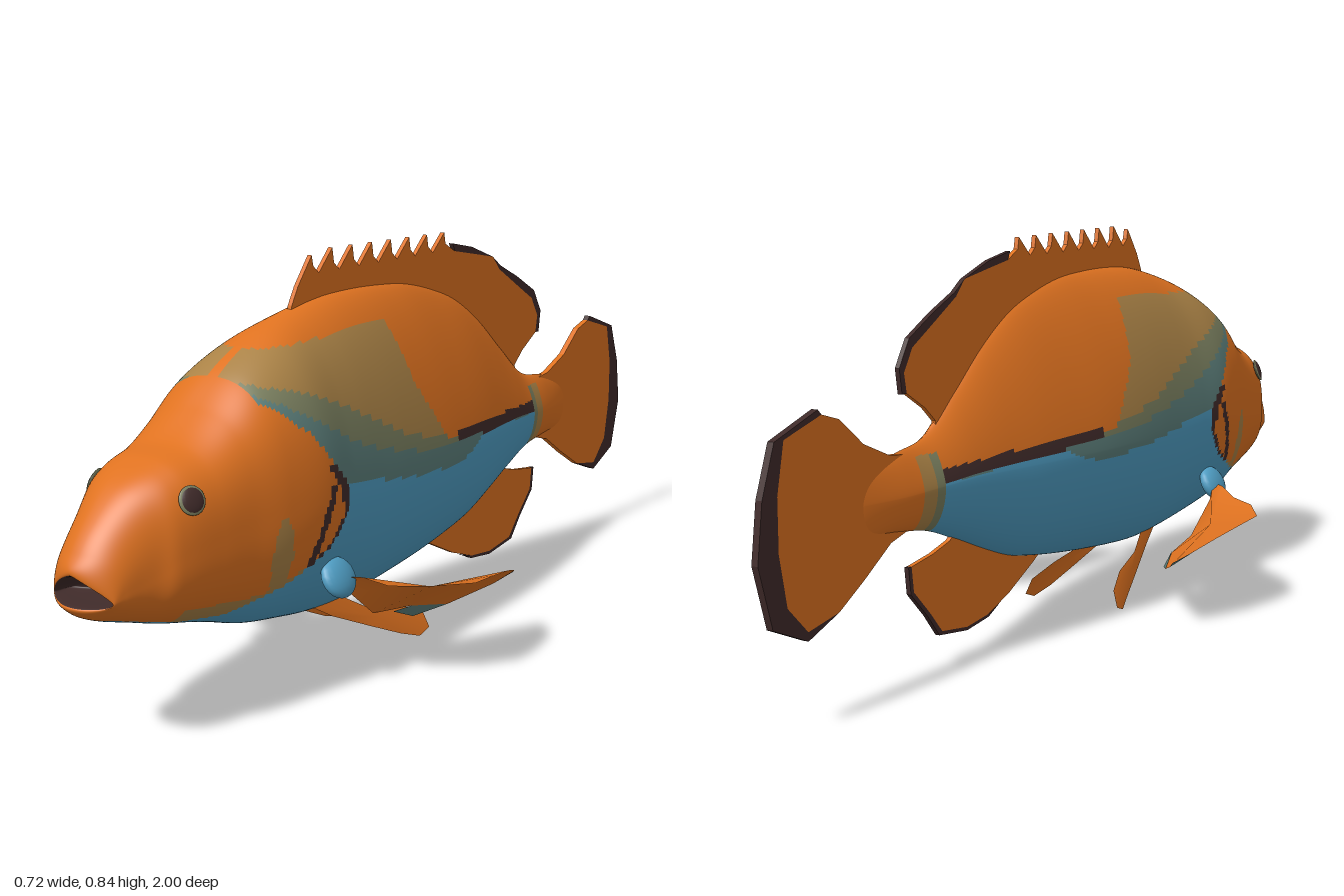
import * as THREE from 'three';

const mat = (name, color, side = THREE.FrontSide) => {
  const m = new THREE.MeshStandardMaterial({ color, side });
  m.name = name;
  return m;
};

// Piecewise-linear lookup in a short list of [input, output], inputs ascending
function lookup(pts, v) {
  if (v <= pts[0][0]) return pts[0][1];
  for (let i = 1; i < pts.length; i++) {
    const [a, fa] = pts[i - 1], [b, fb] = pts[i];
    if (v <= b) return fa + (fb - fa) * (v - a) / (b - a);
  }
  return pts[pts.length - 1][1];
}

// Body sections from tail to lips, then back into the mouth: z, top, bottom, half width, widest height
const SECTIONS = [
  [-0.72, 0.38, 0.36, 0, 0.37], [-0.70, 0.42, 0.31, 0.008, 0.37], [-0.60, 0.45, 0.30, 0.028, 0.37],
  [-0.50, 0.47, 0.285, 0.045, 0.375], [-0.40, 0.545, 0.25, 0.065, 0.38], [-0.30, 0.625, 0.21, 0.085, 0.38],
  [-0.20, 0.685, 0.175, 0.106, 0.38], [-0.10, 0.72, 0.155, 0.124, 0.38], [0, 0.742, 0.14, 0.139, 0.38],
  [0.10, 0.75, 0.128, 0.149, 0.38], [0.20, 0.752, 0.118, 0.156, 0.38], [0.30, 0.747, 0.112, 0.162, 0.38],
  [0.40, 0.73, 0.118, 0.17, 0.39], [0.50, 0.70, 0.135, 0.179, 0.40], [0.60, 0.65, 0.155, 0.168, 0.39],
  [0.68, 0.585, 0.18, 0.15, 0.38], [0.75, 0.54, 0.20, 0.138, 0.37], [0.82, 0.52, 0.217, 0.125, 0.36],
  [0.89, 0.485, 0.238, 0.105, 0.34], [0.95, 0.43, 0.256, 0.09, 0.325], [0.985, 0.385, 0.272, 0.08, 0.315],
  [1, 0.35, 0.292, 0.07, 0.303], [0.95, 0.342, 0.296, 0.058, 0.303], [0.90, 0.315, 0.30, 0, 0.303],
];
const LIP = 21;

// Edges of the colour areas
const GILL = [[0.22, 0.7], [0.25, 0.6], [0.3, 0.48], [0.36, 0.43], [0.42, 0.43], [0.47, 0.48], [0.53, 0.53], [0.6, 0.62], [0.64, 0.62]];
const CHIN = [[0.44, 0.31], [0.5, 0.29], [0.55, 0.245], [0.65, 0.213], [0.8, 0.222], [0.88, 0.243], [0.95, 0.262]];
const BELLY = [[-0.5, 0.38], [-0.3, 0.392], [-0.15, 0.398], [-0.08, 0.37], [0, 0.362], [0.2, 0.378], [0.4, 0.415], [0.5, 0.43]];
const FLANK_LINE = [[-0.5, 0.394], [-0.02, 0.422]];
const SLATE = [[-0.12, 0.39], [0, 0.415], [0.1, 0.417], [0.2, 0.433], [0.3, 0.458], [0.4, 0.495], [0.5, 0.55], [0.62, 0.612]];
const OLIVE = [[0, 0.425], [0.1, 0.442], [0.2, 0.47], [0.3, 0.515], [0.4, 0.56], [0.5, 0.598], [0.62, 0.63]];
const SADDLE_TOP = [[0.16, 0.69], [0.55, 0.68], [0.6, 0.655], [0.66, 0.62]];
const SADDLE_BACK = [[0.43, 0.03], [0.55, 0.12], [0.69, 0.16]];
const [ORANGE, BLUE, TAN, OLIVE_ID, SLATE_ID, DARK] = [0, 1, 2, 3, 4, 5];

function skinColour(x, y, z) {
  const gill = lookup(GILL, y);
  if (z > gill) {
    const chin = lookup(CHIN, z);
    if (y < chin) return BLUE;
    if (y > 0.28 && y < 0.47 && z < gill + (y > 0.39 ? 0.024 : 0.013)) return DARK;
    if (y > 0.28 && y < 0.43 && Math.abs(z - 0.505 + (y - 0.36) * 0.4) < 0.01) return DARK;
    if (((z - 0.615) / 0.025) ** 2 + ((y - 0.31) / 0.08) ** 2 < 1) return TAN;
    if (z > 0.55 && z < 0.82 && y < chin + 0.03) return TAN;
    return ORANGE;
  }
  if (z < -0.55) return ORANGE;
  if (z < -0.49) return y > 0.44 ? ORANGE : z < -0.512 ? TAN : OLIVE_ID;
  if (y < lookup(BELLY, z)) return BLUE;
  if (z < -0.02) {
    const line = lookup(FLANK_LINE, z);
    if (y < line - 0.013) return SLATE_ID;
    return y < line + 0.013 ? DARK : ORANGE;
  }
  if (y < lookup(SLATE, z)) return SLATE_ID;
  if (y < lookup(OLIVE, z)) return OLIVE_ID;
  if (Math.abs(x) > 0.014 && z > lookup(SADDLE_BACK, y) && y < lookup(SADDLE_TOP, z)) return TAN;
  return ORANGE;
}

// Smooth loft through the sections, faces sorted into material groups
function bodyGeometry() {
  const { smoothstep, lerp } = THREE.MathUtils;
  const steps = 14, sides = 144, rows = (SECTIONS.length - 1) * steps;
  const curve = (f) => new THREE.CatmullRomCurve3(SECTIONS.map(f), false, 'catmullrom');
  const outline = curve((s) => new THREE.Vector3(s[0], s[1], s[2]));
  const girth = curve((s) => new THREE.Vector3(s[0], s[3], s[4]));
  const pos = [], faces = [[], [], [], [], [], []];
  for (let i = 0; i <= rows; i++) {
    const o = outline.getPoint(i / rows), g = girth.getPoint(i / rows);
    // ridged back, boxy head, peaked mouth
    const boxy = smoothstep(o.x, 0.35, 0.78), mouth = smoothstep(i / steps, LIP - 1, LIP);
    const upper = lerp(1.38 + 0.36 * smoothstep(o.x, -0.1, 0.38) + boxy, 1.3, mouth);
    const lower = 1.85 + boxy * 0.6;
    const nose = 6 * smoothstep(o.x, 0.84, 0.98);
    for (let j = 0; j < sides; j++) {
      const a = j / sides * Math.PI * 2, c = Math.cos(a), s = Math.sin(a);
      const n = 2 / (s > 0 ? upper : lower);
      const h = s > 0 ? o.y - g.z : g.z - o.z;
      const x = Math.sign(c) * Math.abs(c) ** n * Math.max(g.y, 0);
      pos.push(x, g.z + Math.sign(s) * Math.abs(s) ** n * h, o.x - nose * x * x);
    }
  }
  for (let i = 0; i < rows; i++) for (let j = 0; j < sides; j++) {
    const k = (j + 1) % sides;
    const a = i * sides + j, b = i * sides + k, c = b + sides, d = a + sides;
    const [x, y, z] = [0, 1, 2].map((e) => (pos[a * 3 + e] + pos[c * 3 + e]) / 2);
    faces[i >= LIP * steps ? DARK : skinColour(x, y, z)].push(a, b, c, a, c, d);
  }
  const geo = new THREE.BufferGeometry();
  geo.setAttribute('position', new THREE.Float32BufferAttribute(pos, 3));
  geo.setIndex(faces.flat());
  let start = 0;
  faces.forEach((f, m) => { geo.addGroup(start, f.length, m); start += f.length; });
  geo.computeVertexNormals();
  return geo;
}

// Flat upright fin from [z, y] points
function uprightFin(points, depth = 0.01) {
  const shape = new THREE.Shape(points.map(([z, y]) => new THREE.Vector2(z, y)));
  return new THREE.ExtrudeGeometry(shape, { depth, bevelEnabled: false })
    .translate(0, 0, -depth / 2).rotateY(-Math.PI / 2);
}

// Curved paired fin: a fan from the outline's middle
function fanFin(points, side) {
  const n = points.length;
  const mid = [0, 1, 2].map((k) => points.reduce((t, p) => t + p[k], 0) / n);
  const geo = new THREE.BufferGeometry();
  geo.setAttribute('position', new THREE.Float32BufferAttribute(
    [mid, ...points].flatMap(([x, y, z]) => [x * side, y, z]), 3));
  geo.setIndex(points.flatMap((_, i) => [0, 1 + i, 1 + (i + 1) % n]));
  geo.computeVertexNormals();
  return geo;
}

export function createModel() {
  const fish = new THREE.Group();
  fish.name = 'fish';
  const orange = mat('orange skin', 0xdf7220, THREE.DoubleSide), blue = mat('blue belly', 0x4f9dc3);
  const tan = mat('tan saddle', 0xaa8246), olive = mat('olive band', 0x7a7f5f);
  const slate = mat('slate band', 0x5c7e7a, THREE.DoubleSide), dark = mat('dark trim', 0x402b2a, THREE.DoubleSide);
  const add = (name, geo, material) => {
    const m = new THREE.Mesh(geo, material);
    m.name = name;
    fish.add(m);
    return m;
  };

  add('body', bodyGeometry(), [orange, blue, tan, olive, slate, dark]);

  // Dorsal fin: spiny front, soft rear with dark edge patches
  const spines = [];
  for (let i = 0; i < 8; i++) {
    const z = 0.335 - i * 0.068, lift = i === 0 ? -0.02 : 0;
    spines.push([z + 0.03, 0.795 + lift], [z - 0.015, 0.842 + lift * 0.5 - i * 0.001], [z - 0.02, 0.81]);
  }
  add('dorsalFin', uprightFin([[0.40, 0.68], [0.385, 0.74], ...spines, [-0.2, 0.79], [-0.27, 0.778], [-0.36, 0.762],
    [-0.39, 0.73], [-0.46, 0.69], [-0.54, 0.645], [-0.568, 0.6], [-0.56, 0.56], [-0.5, 0.525], [-0.465, 0.495],
    [-0.47, 0.44], [-0.3, 0.55], [0, 0.66]]), orange);
  add('dorsalFrontMargin', uprightFin([[-0.19, 0.808], [-0.27, 0.793], [-0.36, 0.762], [-0.27, 0.778], [-0.2, 0.79]]), dark);
  add('dorsalRearMargin', uprightFin([[-0.36, 0.762], [-0.395, 0.738], [-0.47, 0.705], [-0.55, 0.663], [-0.583, 0.61],
    [-0.575, 0.56], [-0.56, 0.56], [-0.568, 0.6], [-0.54, 0.645], [-0.46, 0.69], [-0.39, 0.73]]), dark);

  // Tail fin with dark trailing edge
  add('tailFin', uprightFin([[-0.52, 0.44], [-0.62, 0.452], [-0.7, 0.485], [-0.77, 0.54], [-0.82, 0.555],
    [-0.925, 0.525], [-0.945, 0.43], [-0.945, 0.33], [-0.925, 0.23], [-0.87, 0.175], [-0.78, 0.19],
    [-0.7, 0.235], [-0.62, 0.285], [-0.52, 0.31]], 0.014), orange);
  add('tailMargin', uprightFin([[-0.82, 0.555], [-0.83, 0.565], [-0.95, 0.525], [-0.985, 0.43], [-1, 0.32],
    [-0.965, 0.2], [-0.87, 0.158], [-0.78, 0.19], [-0.87, 0.175], [-0.925, 0.23], [-0.945, 0.33],
    [-0.945, 0.43], [-0.925, 0.525]], 0.014), dark);

  // Anal fin with thin dark lower edge
  add('analFin', uprightFin([[-0.05, 0.17], [-0.1, 0.142], [-0.2, 0.095], [-0.28, 0.068], [-0.36, 0.06],
    [-0.45, 0.073], [-0.492, 0.12], [-0.545, 0.173], [-0.552, 0.225], [-0.48, 0.235], [-0.42, 0.25],
    [-0.36, 0.3], [-0.2, 0.24]]), orange);
  add('analMargin', uprightFin([[-0.24, 0.08], [-0.28, 0.062], [-0.36, 0.053], [-0.46, 0.067], [-0.5, 0.115],
    [-0.555, 0.17], [-0.562, 0.225], [-0.552, 0.225], [-0.545, 0.173], [-0.492, 0.12], [-0.45, 0.073],
    [-0.36, 0.06], [-0.28, 0.068]]), dark);

  for (const side of [1, -1]) {
    const label = side > 0 ? 'left' : 'right';
    // Pectoral fin, its slate corners and blue root
    add(label + 'PectoralFin', fanFin([[0.16, 0.235, 0.46], [0.2, 0.235, 0.43], [0.245, 0.217, 0.4],
      [0.31, 0.216, 0.35], [0.36, 0.21, 0.27], [0.357, 0.205, 0.19], [0.34, 0.19, 0.1], [0.315, 0.17, 0.045],
      [0.26, 0.13, 0.04], [0.205, 0.1, 0.13], [0.175, 0.115, 0.22], [0.165, 0.13, 0.34], [0.17, 0.2, 0.43]], side), orange);
    add(label + 'PectoralTip', fanFin([[0.315, 0.17, 0.045], [0.285, 0.15, 0.003], [0.26, 0.13, 0.04]], side), slate);
    add(label + 'PectoralCorner', fanFin([[0.205, 0.1, 0.13], [0.165, 0.085, 0.2], [0.157, 0.11, 0.26],
      [0.175, 0.115, 0.22]], side), slate);
    const root = add(label + 'PectoralRoot', new THREE.SphereGeometry(1, 20, 12), blue);
    root.scale.set(0.02, 0.042, 0.045);
    root.position.set(side * 0.165, 0.235, 0.455);
    root.rotation.z = side * 0.5;

    // Pelvic fin
    add(label + 'PelvicFin', fanFin([[0.045, 0.135, 0.39], [0.055, 0.1, 0.33], [0.08, 0.055, 0.23],
      [0.1, 0.02, 0.15], [0.115, 0.003, 0.1], [0.118, 0.015, 0.068], [0.105, 0.05, 0.075],
      [0.085, 0.078, 0.14], [0.07, 0.1, 0.24], [0.055, 0.135, 0.3]], side), orange);

    // Eye with olive rim, nearly flush with the head
    const outward = new THREE.Vector3(side, 0.38, 0.3).normalize();
    for (const [name, r, flat, m] of [['EyeRim', 0.027, 0.2, olive], ['Eye', 0.0245, 0.3, dark]]) {
      const eye = add(label + name, new THREE.SphereGeometry(r, 20, 14), m);
      eye.scale.x = flat;
      eye.position.set(side * 0.117, 0.46, 0.815);
      eye.quaternion.setFromUnitVectors(new THREE.Vector3(side, 0, 0), outward);
    }
  }
  return fish;
}
